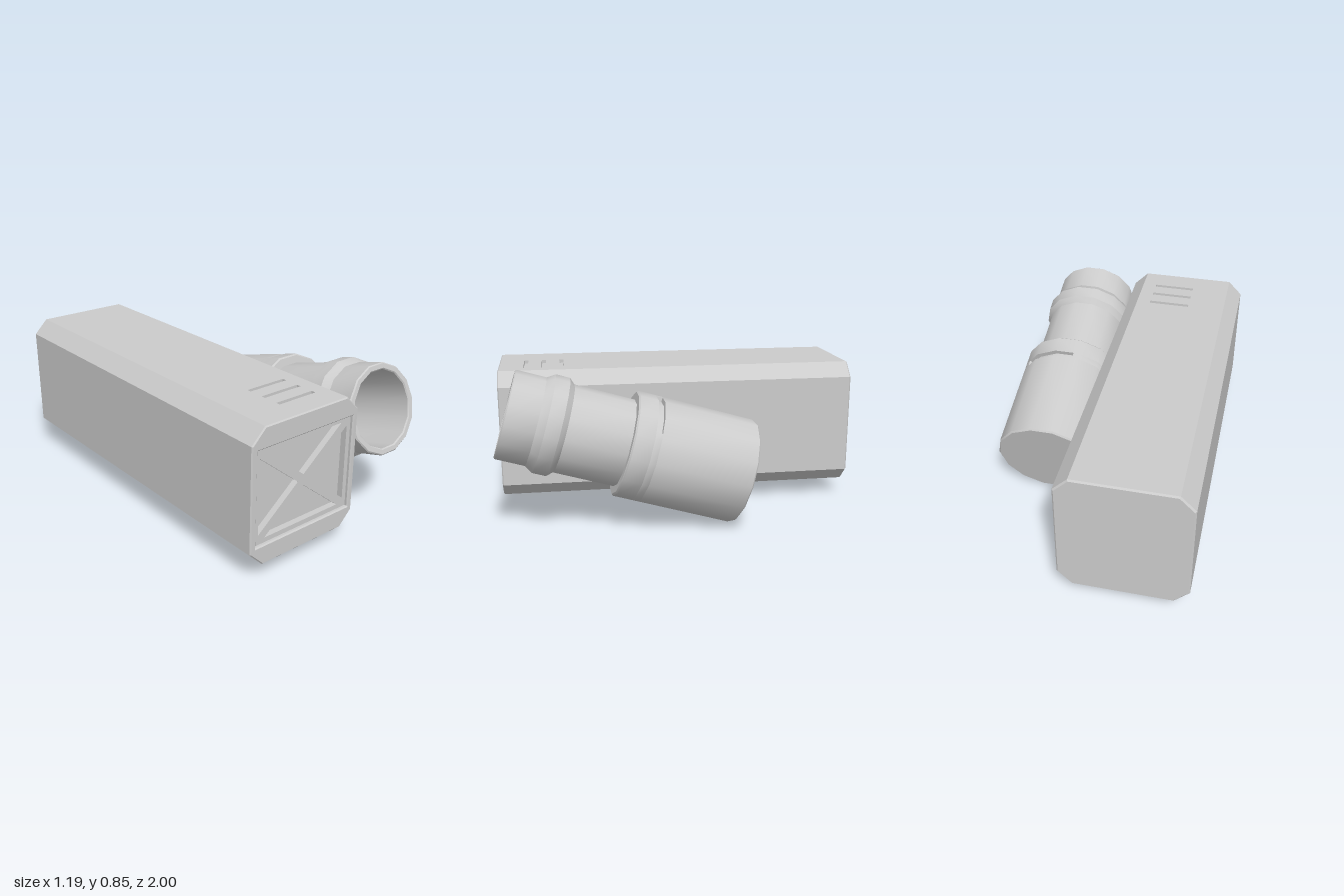
import * as THREE from 'three';
import { toCreasedNormals } from 'three/addons/utils/BufferGeometryUtils.js';

const SIDES = 14;
const STEP = (2 * Math.PI) / SIDES;
const material = new THREE.MeshStandardMaterial({ color: 0xcccccc });

const polygon = (pts) => pts.map(([x, y]) => new THREE.Vector2(x, y));
const rect = (x0, y0, x1, y1) => polygon([[x0, y0], [x1, y0], [x1, y1], [x0, y1]]);

function shapeWithHoles(outline, holes = []) {
  const shape = new THREE.Shape(outline);
  shape.holes = holes.map((h) => new THREE.Path(h));
  return shape;
}

// Extrudes from z0 to z1, keeping the outline size when bevelled
function slab(shape, z0, z1, bevel = 0) {
  return new THREE.ExtrudeGeometry(shape, {
    depth: z1 - z0 - 2 * bevel, bevelEnabled: bevel > 0, bevelSize: bevel,
    bevelThickness: bevel, bevelOffset: -bevel, bevelSegments: 1,
  }).translate(0, 0, z0 + bevel);
}

function addMesh(parent, name, geometry) {
  const mesh = new THREE.Mesh(geometry, material);
  mesh.name = name;
  parent.add(mesh);
}

function createBody() {
  const body = new THREE.Group();
  body.name = 'boxBody';
  const L = -0.6, R = 0.07, B = 0.095, T = 0.8, c = 0.077;
  const lower = [[L, T - c], [L, B + c], [L + c, B], [R - c, B], [R, B + c], [R, T - c]];
  const octagon = polygon([...lower, [R - c, T], [L + c, T]]);
  const core = polygon([...lower, [R - c, T], [R - c, T - 0.02], [L + c, T - 0.02], [L + c, T]]);
  addMesh(body, 'bodyCore', slab(shapeWithHoles(core), -0.98, 0.93));
  addMesh(body, 'rearCap', slab(shapeWithHoles(octagon), -1, -0.96, 0.008));

  // Front frame with a recessed, cross-braced panel
  const opening = rect(-0.565, 0.198, 0.04, 0.692);
  addMesh(body, 'frontFrame', slab(shapeWithHoles(octagon, [opening]), 0.9, 0.98, 0.006));
  const triangles = [
    [[-0.5, 0.667], [-0.022, 0.667], [-0.262, 0.473]],
    [[-0.5, 0.223], [-0.022, 0.223], [-0.262, 0.417]],
    [[-0.54, 0.643], [-0.54, 0.247], [-0.296, 0.445]],
    [[0.016, 0.643], [0.016, 0.247], [-0.228, 0.445]],
  ].map(polygon);
  addMesh(body, 'crossBrace', slab(shapeWithHoles(opening, triangles), 0.93, 0.962));

  // Top skin with three vent slots
  const slots = [0.63, 0.73, 0.83].map((z) => rect(-0.315, -z - 0.012, -0.085, -z + 0.012));
  const skin = slab(shapeWithHoles(rect(L + c, -0.95, R - c, 0.98), slots), T - 0.02, T);
  addMesh(body, 'ventedTop', skin.rotateX(-Math.PI / 2));
  return body;
}

// Polygon radius at an angle measured from the top flat
function polygonRadius(r, a) {
  const offset = a - Math.round(a / STEP) * STEP;
  return (r * Math.cos(STEP / 2)) / Math.cos(offset);
}

// Ring outline at radius r between two angles, clockwise from the top
function arc(r, a0, a1) {
  const angles = [a0];
  for (let k = Math.ceil(a0 / STEP - 0.5); (k + 0.5) * STEP < a1; k++) angles.push((k + 0.5) * STEP);
  angles.push(a1);
  return angles.map((a) => {
    const p = polygonRadius(r, a);
    return new THREE.Vector2(p * Math.sin(a), p * Math.cos(a));
  });
}

function lathe(points) {
  return toCreasedNormals(new THREE.LatheGeometry(polygon(points), SIDES, STEP / 2), 0.47);
}

function createTube() {
  const tube = new THREE.Group();
  tube.name = 'tiltedTube';
  const big = 0.285, small = 0.235, bore = 0.2, slotFront = -0.74, slotRear = -0.775;

  // Mouth, raised collar, neck and front shoulder
  addMesh(tube, 'tubeFront', lathe([
    [bore, slotFront], [big, slotFront], [big, -0.644], [big - 0.008, -0.636], [small, -0.636],
    [small, -0.31], [0.262, -0.28], [0.262, -0.205], [small, -0.163], [small, -0.006],
    [small - 0.006, 0], [bore + 0.006, 0], [bore, -0.006], [bore, slotFront],
  ]));

  // Closed rear sleeve
  addMesh(tube, 'tubeRear', lathe([
    [0, -1.298], [big - 0.008, -1.298], [big, -1.29], [big, slotRear],
    [bore, slotRear], [bore, -1.17], [0, -1.17],
  ]));

  // Band carrying the curved slot
  const a0 = THREE.MathUtils.degToRad(-9), a1 = THREE.MathUtils.degToRad(57);
  const outline = [...arc(big, a1, a0 + 2 * Math.PI), ...arc(big - 0.025, a0, a1)];
  const hole = arc(bore, STEP / 2, STEP / 2 + 2 * Math.PI).slice(0, SIDES);
  const band = slab(shapeWithHoles(outline, [hole]), slotRear, slotFront).rotateX(-Math.PI / 2);
  addMesh(tube, 'slottedBand', toCreasedNormals(band, 0.47));

  tube.position.set(0.31, 0.638, 0.935);
  tube.rotation.x = THREE.MathUtils.degToRad(90 - 16.4);
  return tube;
}

export function createModel() {
  const model = new THREE.Group();
  model.name = 'boxWithTube';
  model.add(createBody(), createTube());
  return model;
}
